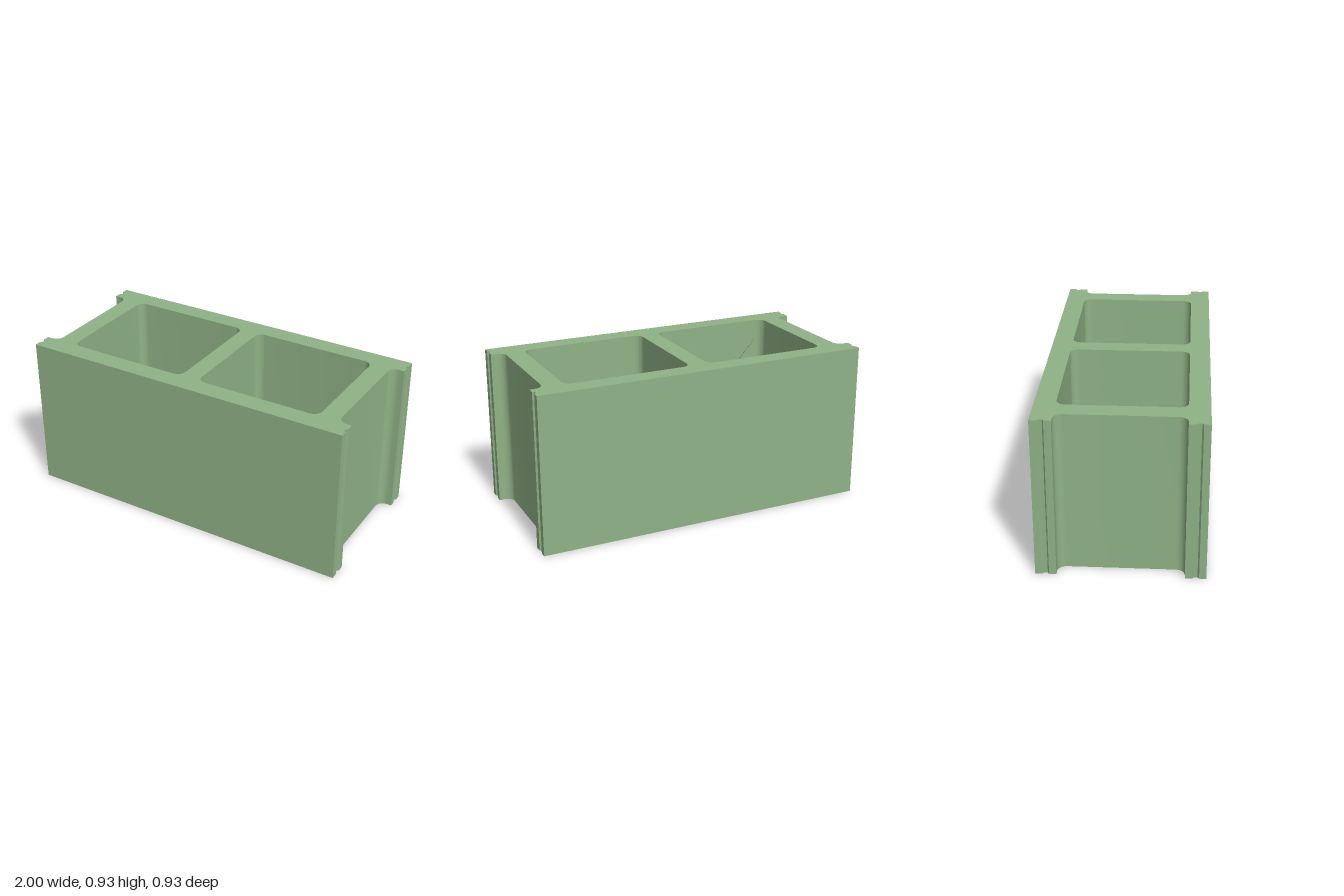
import * as THREE from 'three';
import { toCreasedNormals } from 'three/addons/utils/BufferGeometryUtils.js';

const HEIGHT = 0.925;  // block height
const OUT = 0.4625;    // outer face of the long walls
const INN = 0.347;     // inner face of the long walls
const R = 0.05;        // fillet radius

// One quarter of the outline: from the middle of an end web to the outer corner
function quarterOutline() {
  const pts = [[0.92, 0]];
  for (let i = 0; i <= 8; i++) { // fillet between end web and long wall
    const a = (i / 8) * Math.PI / 2;
    pts.push([0.92 + R * (1 - Math.cos(a)), INN - R * (1 - Math.sin(a))]);
  }
  // wall end with its shallow groove
  pts.push([1, INN], [1, 0.387], [0.988, 0.395], [0.988, 0.415], [1, 0.424], [1, OUT]);
  return pts;
}

// Rounded rectangular opening
function cellHole(x0, x1) {
  const p = new THREE.Path();
  const q = Math.PI / 2;
  p.moveTo(x0 + R, -INN);
  p.absarc(x1 - R, -INN + R, R, -q, 0);
  p.absarc(x1 - R, INN - R, R, 0, q);
  p.absarc(x0 + R, INN - R, R, q, 2 * q);
  p.absarc(x0 + R, -INN + R, R, 2 * q, 3 * q);
  return p;
}

export function createModel() {
  const group = new THREE.Group();
  group.name = 'hollowBlock';

  // Block body: mirrored outline with two cells, extruded upwards
  const q = quarterOutline();
  const mirror = (sx, sy) => q.map(([x, y]) => new THREE.Vector2(sx * x, sy * y));
  const shape = new THREE.Shape([
    ...mirror(1, 1), ...mirror(-1, 1).reverse(),
    ...mirror(-1, -1).slice(1), ...mirror(1, -1).slice(1).reverse(),
  ]);
  shape.holes.push(cellHole(0.055, 0.805), cellHole(-0.805, -0.055));
  const bodyGeo = new THREE.ExtrudeGeometry(shape, { depth: HEIGHT, bevelEnabled: false, curveSegments: 8 });
  bodyGeo.rotateX(-Math.PI / 2);
  const body = new THREE.Mesh(
    toCreasedNormals(bodyGeo, Math.PI / 6),
    new THREE.MeshStandardMaterial({ color: 0x8fb286 })
  );
  body.name = 'blockBody';
  group.add(body);

  // Thin slanted sheet crossing both cells, its ends buried in the long walls
  const sheetGeo = new THREE.BufferGeometry();
  sheetGeo.setAttribute('position', new THREE.Float32BufferAttribute([
    -0.89, 0.87, 0.42,
    -0.077, 0, 0.42,
    0.661, 0, -0.42,
    0.557, 0.126, -0.42,
  ], 3));
  sheetGeo.setIndex([0, 1, 2, 0, 2, 3]);
  sheetGeo.computeVertexNormals();
  const sheet = new THREE.Mesh(
    sheetGeo,
    new THREE.MeshStandardMaterial({ color: 0x70433e, side: THREE.DoubleSide })
  );
  sheet.name = 'innerSheet';
  group.add(sheet);

  return group;
}
